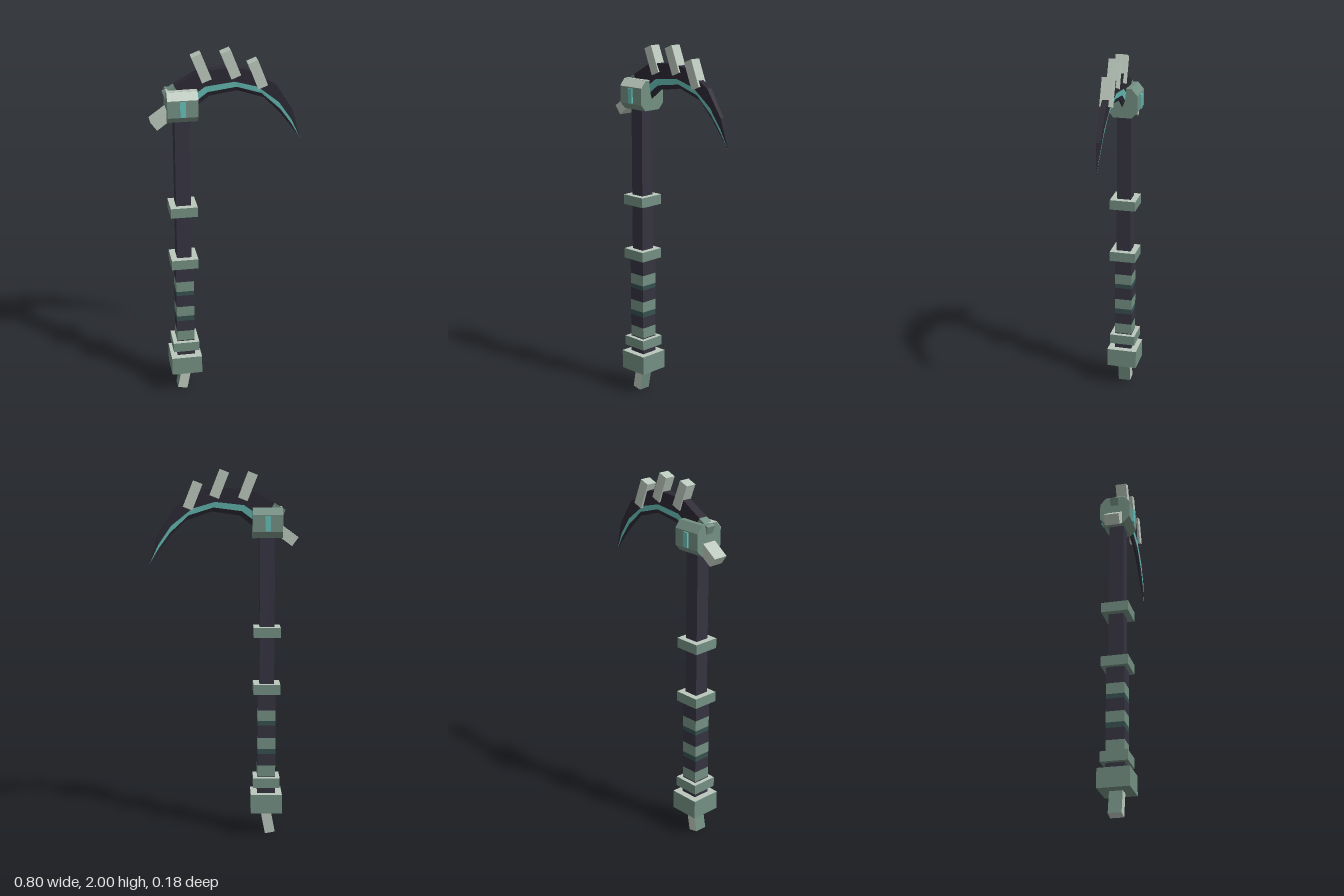
import * as THREE from 'three';

export function createModel() {
  const model = new THREE.Group();
  model.name = 'sickle';

  const mat = (name, color) => {
    const m = new THREE.MeshStandardMaterial({ color, flatShading: true });
    m.name = name;
    return m;
  };
  const dark = mat('darkWood', 0x353340);
  const bladeMat = mat('bladeBlack', 0x2c2934);
  const green = mat('sageGreen', 0x738f82);
  const deepGreen = mat('deepGreen', 0x35504f);
  const bone = mat('paleBone', 0xbac7bc);
  const cyan = mat('cyanGlow', 0x66bdb6);

  const CX = -0.235; // handle axis

  const add = (name, geometry, material) => {
    const mesh = new THREE.Mesh(geometry, material);
    mesh.name = name;
    model.add(mesh);
    return mesh;
  };
  // square block on the handle axis between two heights
  const block = (name, y0, y1, width, material) => {
    const mesh = add(name, new THREE.BoxGeometry(width, y1 - y0, width), material);
    mesh.position.set(CX, (y0 + y1) / 2, 0);
    return mesh;
  };
  // tilted bar whose outer end is centred on (x, y)
  const bar = (name, x, y, degrees, length, width, depth, material) => {
    const g = new THREE.BoxGeometry(width, length, depth).translate(0, -length / 2, 0);
    const mesh = add(name, g, material);
    mesh.position.set(x, y, 0);
    mesh.rotation.z = THREE.MathUtils.degToRad(degrees);
    return mesh;
  };

  // shaft and wrapped grip
  block('shaft', 0.8, 1.68, 0.08, dark);
  const wraps = [
    [0.2, 0.33, dark], [0.33, 0.39, green], [0.39, 0.455, dark],
    [0.455, 0.485, deepGreen], [0.485, 0.545, green], [0.545, 0.615, dark],
    [0.615, 0.64, deepGreen], [0.64, 0.7, green], [0.7, 0.8, dark],
  ];
  wraps.forEach(([y0, y1, m]) => block('gripWrap', y0, y1, 0.098, m));

  // collars with pale tops
  const paleTop = [green, green, bone, green, green, green];
  [[0.27, 0.325], [0.79, 0.845], [1.1, 1.155]].forEach(([a, b]) => block('collar', a, b, 0.145, paleTop));

  // pommel and its slanted peg
  block('pommel', 0.13, 0.235, 0.17, paleTop);
  bar('pommelPeg', -0.257, 0.0055, 169, 0.2, 0.055, 0.07, [green, green, bone, bone, bone, bone]);

  // head: chamfered block running along x
  const profile = [
    [0.05, 1.633], [0.082, 1.667], [0.082, 1.757], [0.05, 1.795],
    [-0.05, 1.795], [-0.082, 1.757], [-0.082, 1.667], [-0.05, 1.633],
  ].map(([z, y]) => new THREE.Vector2(z, y));
  const headGeo = new THREE.ExtrudeGeometry(new THREE.Shape(profile), { depth: 0.16, bevelEnabled: false });
  headGeo.rotateY(-Math.PI / 2).translate(-0.155, 0, 0);
  add('head', headGeo, green);

  // pale plates on the front of the head's top
  const slope = add('headSlopePlate', new THREE.BoxGeometry(0.16, 0.004, 0.05), bone);
  slope.position.set(CX, 1.777, 0.067);
  slope.rotation.x = Math.atan2(0.038, 0.032);
  const cap = add('headTopPlate', new THREE.BoxGeometry(0.16, 0.004, 0.05), bone);
  cap.position.set(CX, 1.796, 0.025);

  // glowing gems front and back
  [1, -1].forEach((s) => {
    const gem = add('headGem', new THREE.BoxGeometry(0.03, 0.08, 0.009), cyan);
    gem.position.set(CX, 1.711, s * 0.0855);
  });

  // rear stud and the three spines on the blade
  bar('rearStud', -0.3825, 1.614, 126, 0.16, 0.058, 0.083, bone);
  [[-0.157, 1.975], [-0.005, 1.987], [0.136, 1.926]].forEach(([x, y]) =>
    bar('bladeSpine', x, y, 21.6, 0.148, 0.054, 0.06, bone));

  // curved blade: stations of [topX, topY, bottomX, bottomY, half thickness]
  const stations = [
    [-0.33, 1.783, -0.3, 1.7, 0.026],
    [-0.27, 1.818, -0.19, 1.67, 0.026],
    [-0.145, 1.889, -0.087, 1.751, 0.024],
    [0.02, 1.9, 0.06, 1.772, 0.022],
    [0.11, 1.885, 0.2, 1.725, 0.02],
    [0.262, 1.794, 0.29, 1.632, 0.016],
    [0.352, 1.651, 0.345, 1.56, 0.011],
    [0.397, 1.49, 0.397, 1.49, 0],
  ];
  // rows from spine to cutting edge: [fraction, thickness factor]
  const rows = [[0, 1], [0.6, 0.8], [0.83, 0.6], [1, 0.15]];
  const rings = stations.map(([tx, ty, bx, by, t]) => {
    const side = (s) => rows.map(([f, k]) => [tx + (bx - tx) * f, ty + (by - ty) * f, s * t * k]);
    return [...side(1), ...side(-1).reverse()];
  });
  const parts = { bladeBase: [], blade: [], bladeGlow: [] };
  for (let i = 0; i < rings.length - 1; i++) {
    for (let j = 0; j < 8; j++) {
      const n = (j + 1) % 8;
      const [a, b, c, d] = [rings[i][j], rings[i][n], rings[i + 1][n], rings[i + 1][j]];
      const key = i === 0 ? 'bladeBase' : j === 1 || j === 5 ? 'bladeGlow' : 'blade';
      parts[key].push(...a, ...b, ...c, ...a, ...c, ...d);
    }
  }
  for (let k = 1; k < 7; k++) parts.bladeBase.push(...rings[0][0], ...rings[0][k + 1], ...rings[0][k]);
  const bladeMats = { bladeBase: green, blade: bladeMat, bladeGlow: cyan };
  Object.keys(parts).forEach((key) => {
    const g = new THREE.BufferGeometry();
    g.setAttribute('position', new THREE.Float32BufferAttribute(parts[key], 3));
    g.computeVertexNormals();
    add(key, g, bladeMats[key]);
  });

  return model;
}
